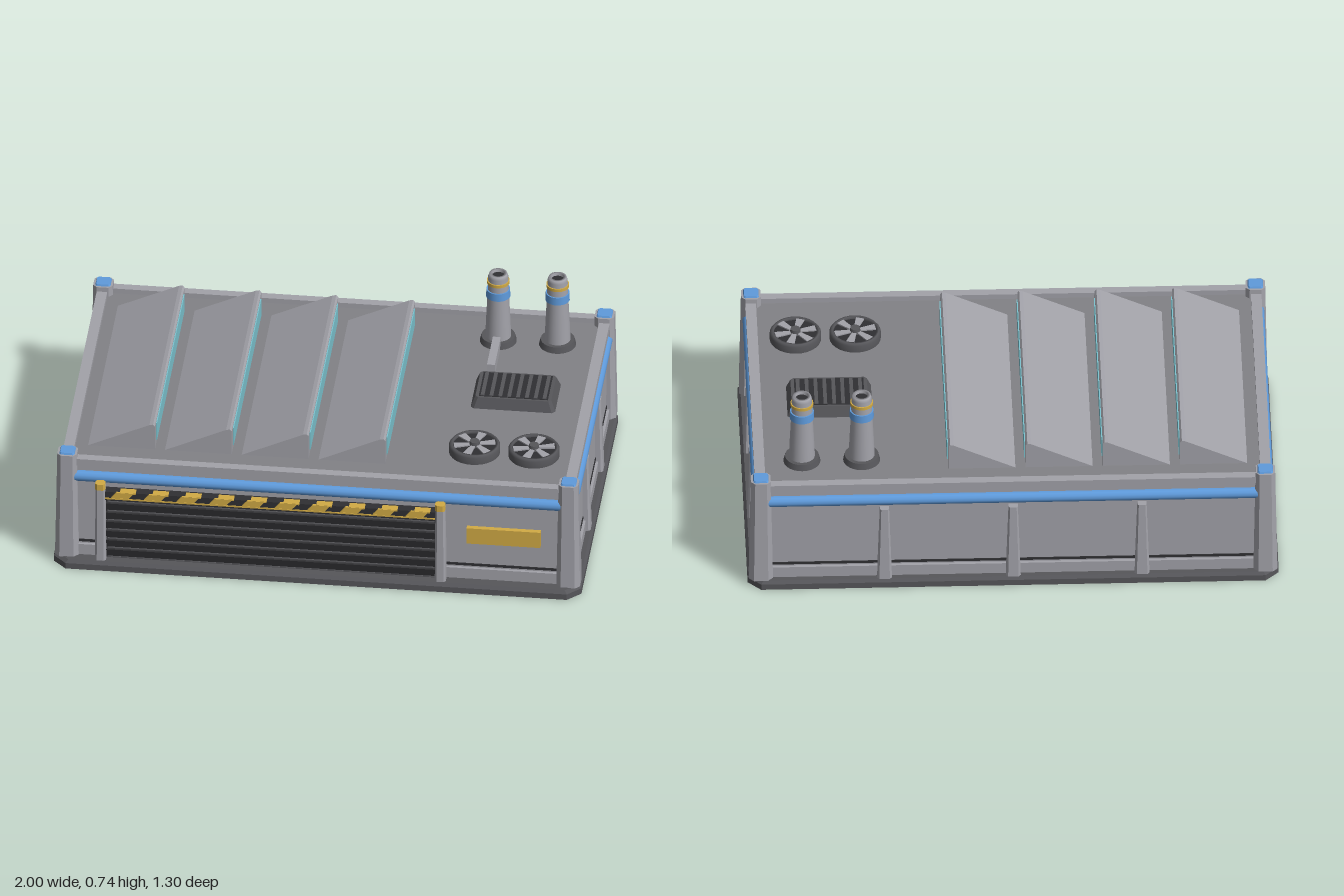
import * as THREE from 'three';

const mat = (name, color) => {
  const m = new THREE.MeshStandardMaterial({ color });
  m.name = name;
  return m;
};

export function createModel() {
  const wall = mat('wall grey', 0xa2a2a9);
  const roofGrey = mat('roof grey', 0x828286);
  const dark = mat('dark grey', 0x56565a);
  const black = mat('charcoal', 0x303033);
  const blue = mat('blue', 0x5f9bdc);
  const gold = mat('gold', 0xd2ab45);
  const glass = mat('glass', 0x7cc4d0);

  const model = new THREE.Group();
  model.name = 'factory';
  // The building sits slightly behind the centre of its slab
  const body = new THREE.Group();
  body.name = 'building';
  body.position.z = -0.01;
  model.add(body);

  const add = (parent, name, geo, material, x = 0, y = 0, z = 0) => {
    const m = new THREE.Mesh(geo, material);
    m.name = name;
    m.position.set(x, y, z);
    parent.add(m);
    return m;
  };
  const box = (parent, name, material, w, h, d, x, y, z) =>
    add(parent, name, new THREE.BoxGeometry(w, h, d), material, x, y, z);
  const cyl = (r0, r1, h, n = 24) => new THREE.CylinderGeometry(r0, r1, h, n);

  // Block with chamfered upright edges, standing on y = 0, narrowing to the top
  const block = (w, d, h, c, tw = 1, td = tw) => {
    const a = w / 2, b = d / 2;
    const s = new THREE.Shape([[a, -b + c], [a, b - c], [a - c, b], [-a + c, b],
      [-a, b - c], [-a, -b + c], [-a + c, -b], [a - c, -b]].map(p => new THREE.Vector2(...p)));
    const g = new THREE.ExtrudeGeometry(s, { depth: h, bevelEnabled: false });
    g.rotateX(-Math.PI / 2);
    const p = g.attributes.position;
    for (let i = 0; i < p.count; i++) {
      if (p.getY(i) > h / 2) p.setXYZ(i, p.getX(i) * tw, h, p.getZ(i) * td);
    }
    g.computeVertexNormals();
    return g;
  };

  // Ground slab with a bevelled top edge
  add(model, 'slab', block(2, 1.304, 0.024, 0.05), dark);
  add(model, 'slabEdge', block(2, 1.304, 0.012, 0.05, 0.99, 0.985), dark, 0, 0.024);

  // Walls, plinth, groove and roof deck
  const WX = 0.96, WZ = 0.6;
  box(body, 'walls', wall, WX * 2, 0.4, WZ * 2, 0, 0.235, 0);
  box(body, 'plinth', wall, WX * 2 + 0.024, 0.046, WZ * 2 + 0.024, 0, 0.058, 0);
  box(body, 'groove', black, WX * 2 + 0.006, 0.01, WZ * 2 + 0.006, 0, 0.093, 0);
  box(body, 'roofDeck', roofGrey, 1.88, 0.008, 1.17, 0, 0.436, 0);

  // Rounded blue band and parapet rail on each side
  for (const s of [-1, 1]) {
    const bandX = add(body, 'blueBand', cyl(0.0225, 0.0225, WX * 2, 12), blue, 0, 0.383, s * WZ);
    bandX.rotation.z = Math.PI / 2;
    const bandZ = add(body, 'blueBand', cyl(0.0225, 0.0225, WZ * 2, 12), blue, s * WX, 0.383, 0);
    bandZ.rotation.x = Math.PI / 2;
    box(body, 'parapet', wall, 1.92, 0.028, 0.034, 0, 0.447, s * 0.595);
    box(body, 'parapet', wall, 0.04, 0.028, 1.17, s * 0.952, 0.447, 0);
  }

  // Corner posts with blue caps
  for (const sx of [-1, 1]) for (const sz of [-1, 1]) {
    add(body, 'cornerPost', block(0.09, 0.09, 0.446, 0.018, 0.82), wall, sx * 0.95, 0.034, sz * 0.588);
    add(body, 'postCap', block(0.058, 0.058, 0.007, 0.006, 0.9), blue, sx * 0.95, 0.48, sz * 0.588);
  }

  // Tapered buttress ribs on the sides and back
  const rib = (x, z, turn) => {
    const r = add(body, 'rib', block(0.056, 0.08, 0.315, 0.008, 0.62, 0.75), wall, x, 0.035, z);
    r.rotation.y = turn;
  };
  for (const s of [-1, 1]) for (const z of [-0.205, 0.205]) rib(s * 0.95, z, Math.PI / 2);
  for (const x of [-0.485, 0, 0.485]) rib(x, -0.595, 0);

  // Roller door with slats
  box(model, 'doorPanel', black, 1.27, 0.29, 0.03, -0.175, 0.18, 0.593);
  for (let i = 0; i < 7; i++) {
    const slat = box(model, 'doorSlat', black, 1.26, 0.034, 0.01, -0.175, 0.06 + i * 0.041, 0.61);
    slat.rotation.x = 0.2;
    box(model, 'slatLip', dark, 1.24, 0.004, 0.006, -0.175, 0.042 + i * 0.041, 0.613);
  }
  for (const x of [-0.82, 0.468]) {
    add(model, 'doorPost', block(0.042, 0.045, 0.322, 0.008, 0.88), wall, x, 0.035, 0.616);
    add(model, 'doorPostCap', block(0.038, 0.034, 0.026, 0.008), gold, x, 0.355, 0.63);
  }
  // Striped lintel
  box(model, 'lintel', black, 1.25, 0.038, 0.036, -0.176, 0.327, 0.62);
  box(model, 'lintelTrim', gold, 1.25, 0.006, 0.006, -0.176, 0.317, 0.637);
  const stripe = new THREE.Shape([[-0.043, -0.012], [0.023, -0.012], [0.043, 0.012], [-0.023, 0.012]]
    .map(p => new THREE.Vector2(...p)));
  const stripeGeo = new THREE.ExtrudeGeometry(stripe, { depth: 0.009, bevelEnabled: false });
  for (let i = 0; i < 10; i++) {
    add(model, 'hazardStripe', stripeGeo, gold, -0.735 + i * 0.124, 0.336, 0.636);
    box(model, 'hazardStripeTop', gold, 0.06, 0.006, 0.03, -0.715 + i * 0.124, 0.346, 0.628);
  }

  // Blank sign plate
  box(model, 'signPlate', gold, 0.28, 0.068, 0.02, 0.705, 0.231, 0.599);

  // Saw-tooth skylights with glass on their upright face
  const tooth = new THREE.Shape([[0, 0], [0.253, 0], [0.253, 0.102], [0.246, 0.11], [0.232, 0.107]]
    .map(p => new THREE.Vector2(...p)));
  const toothGeo = new THREE.ExtrudeGeometry(tooth, { depth: 0.972, bevelEnabled: false });
  for (let i = 0; i < 4; i++) {
    const x = -0.885 + i * 0.291;
    add(model, 'skylight', toothGeo, wall, x, 0.44, -0.503);
    box(model, 'skylightGlass', glass, 0.008, 0.076, 0.9, x + 0.253, 0.497, -0.017);
  }

  // Chimneys
  const stackProfile = [[0.05, 0], [0.046, 0.1], [0.041, 0.2], [0.038, 0.288], [0.034, 0.301],
    [0.024, 0.301], [0.024, 0.26]].map(p => new THREE.Vector2(...p));
  for (const x of [0.565, 0.79]) {
    const g = new THREE.Group();
    g.name = 'chimney';
    g.position.set(x, 0.44, -0.432);
    model.add(g);
    add(g, 'flange', cyl(0.064, 0.07, 0.024), dark, 0, 0.012);
    add(g, 'stack', new THREE.LatheGeometry(stackProfile, 24), wall);
    add(g, 'blueRing', cyl(0.045, 0.046, 0.032), blue, 0, 0.217);
    add(g, 'goldRing', cyl(0.043, 0.043, 0.012), gold, 0, 0.265);
    add(g, 'flue', cyl(0.025, 0.025, 0.01), black, 0, 0.285);
  }

  // Duct from chimney to vent box
  box(model, 'duct', wall, 0.03, 0.045, 0.2, 0.565, 0.4625, -0.29);

  // Louvred vent box
  add(model, 'ventBox', block(0.32, 0.212, 0.042, 0.012, 0.9, 0.86), dark, 0.675, 0.44, -0.057);
  box(model, 'ventOpening', black, 0.262, 0.004, 0.165, 0.675, 0.482, -0.057);
  for (let i = 0; i < 8; i++) {
    box(model, 'ventLouvre', dark, 0.014, 0.006, 0.16, 0.558 + i * 0.0335, 0.484, -0.057);
  }

  // Roof fans
  const blade = new THREE.Shape([[0.015, -0.008], [0.077, -0.02], [0.08, 0.012], [0.015, 0.008]]
    .map(p => new THREE.Vector2(...p)));
  const bladeGeo = new THREE.ExtrudeGeometry(blade, { depth: 0.005, bevelEnabled: false });
  bladeGeo.rotateX(-Math.PI / 2);
  const rim = [[0.097, 0], [0.097, 0.028], [0.09, 0.037], [0.082, 0.037], [0.082, 0.026]]
    .map(p => new THREE.Vector2(...p));
  for (const x of [0.565, 0.79]) {
    const g = new THREE.Group();
    g.name = 'roofFan';
    g.position.set(x, 0.44, 0.342);
    model.add(g);
    add(g, 'fanRim', new THREE.LatheGeometry(rim, 28), dark);
    add(g, 'fanWell', cyl(0.084, 0.084, 0.026, 28), black, 0, 0.013);
    for (let i = 0; i < 6; i++) {
      add(g, 'fanBlade', bladeGeo, wall, 0, 0.03).rotation.y = i * Math.PI / 3 + 0.3;
    }
    add(g, 'fanHub', cyl(0.018, 0.022, 0.022, 16), dark, 0, 0.036);
  }
  return model;
}
